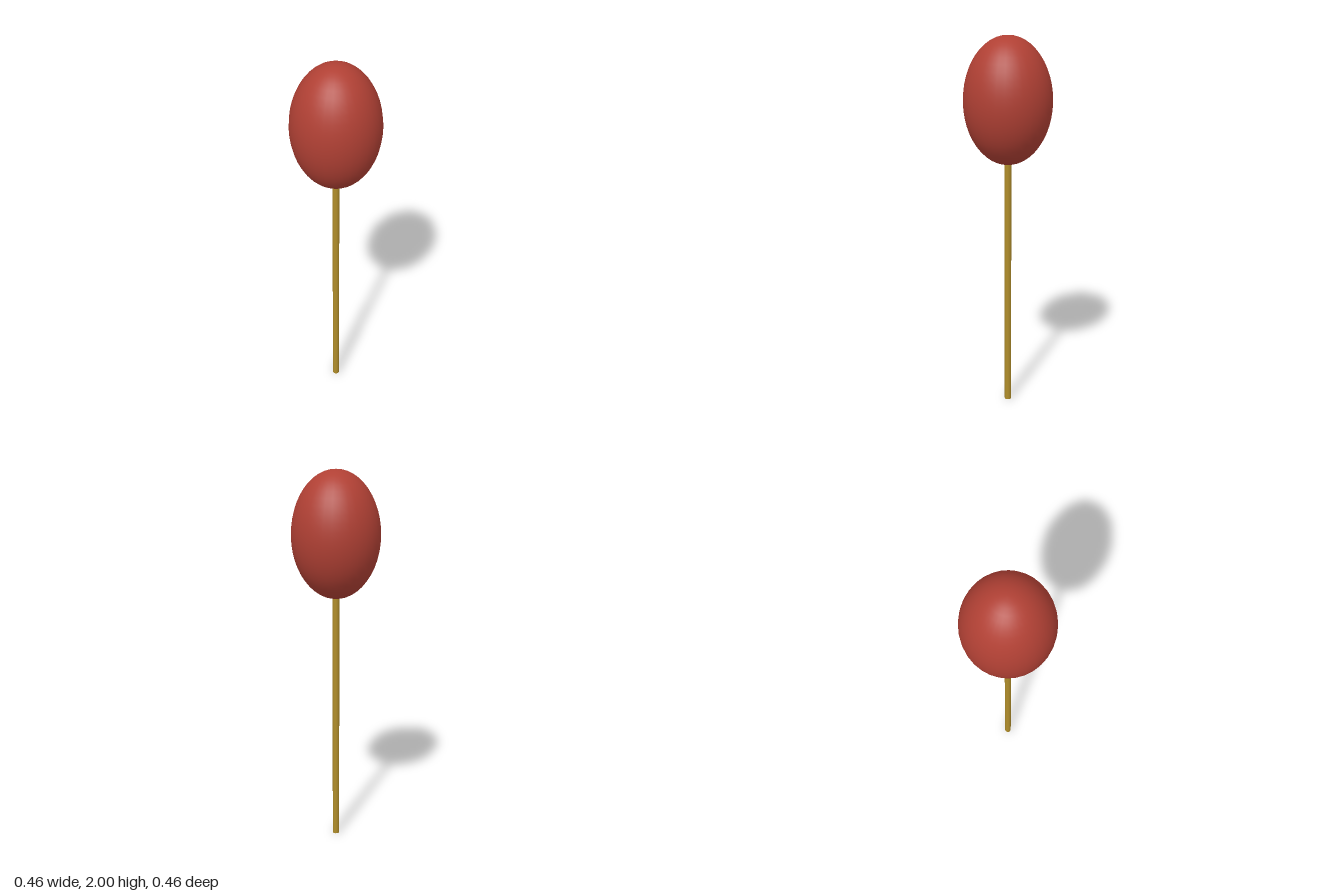
import * as THREE from 'three';

export function createModel() {
  const group = new THREE.Group();

  function addPart(name, geometry, color, y) {
    const mesh = new THREE.Mesh(geometry, new THREE.MeshStandardMaterial({ color }));
    mesh.name = name;
    mesh.position.y = y;
    group.add(mesh);
  }

  // Slim round stick, its top sunk into the head
  const stickHeight = 1.4;
  addPart('stick', new THREE.CylinderGeometry(0.018, 0.018, stickHeight, 12), 0xb08d2a, stickHeight / 2);

  // Egg-shaped head: a sphere stretched upwards
  const headGeometry = new THREE.SphereGeometry(1, 32, 24);
  headGeometry.scale(0.23, 0.33, 0.23);
  addPart('head', headGeometry, 0xb04034, 1.67);

  return group;
}
